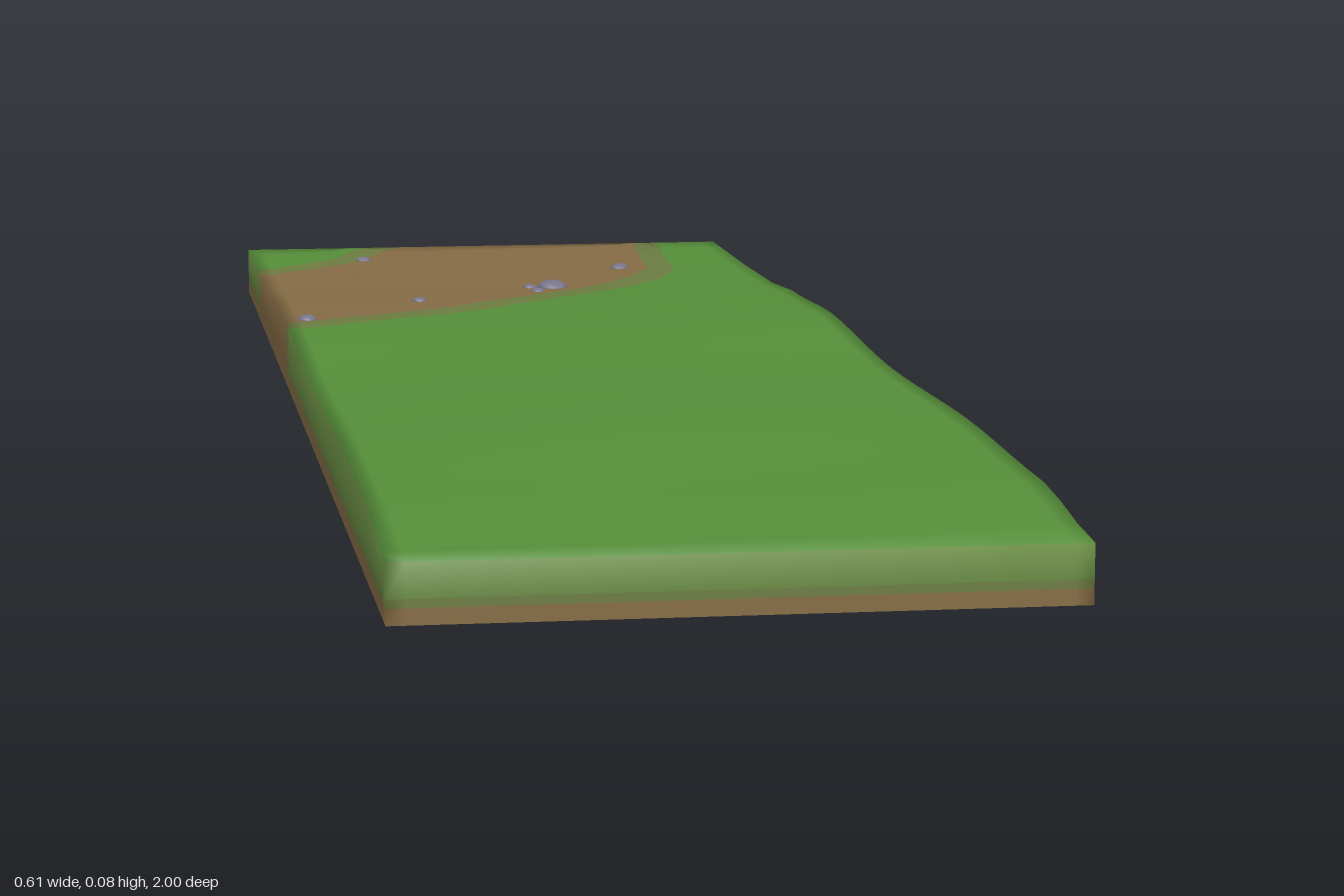
import * as THREE from 'three';
import { mergeVertices } from 'three/addons/utils/BufferGeometryUtils.js';

const HALF_X = 0.307, RIM = 0.055;

// Smooth interpolation through [key, value] pairs
function sample(table, k, ease) {
  if (k <= table[0][0]) return table[0][1];
  for (let i = 1; i < table.length; i++) {
    const [k0, v0] = table[i - 1], [k1, v1] = table[i];
    if (k <= k1) {
      let t = (k - k0) / (k1 - k0);
      if (ease) t = t * t * (3 - 2 * t);
      return v0 + (v1 - v0) * t;
    }
  }
  return table[table.length - 1][1];
}

// Ridge height along z, and the two borders of the soil patch as z over x
const ridge = [[-1, 0.055], [-0.8, 0.057], [-0.6, 0.061], [-0.4, 0.071], [-0.18, 0.078],
  [0.12, 0.071], [0.5, 0.081], [0.8, 0.073], [1, 0.055]];
const backBorder = [[-0.307, -0.77], [-0.24, -0.82], [-0.18, -0.89], [-0.13, -1.05]];
const frontBorder = [[-0.307, -0.225], [-0.22, -0.285], [-0.1, -0.36], [0, -0.45],
  [0.1, -0.56], [0.16, -0.64], [0.195, -0.73], [0.215, -1.05]];

const height = (x, z) => RIM + (sample(ridge, z, true) - RIM)
  * (0.8 + 0.55 * x + 0.12 * Math.sin(9 * x + 5 * z));

// z of every row in a column; rows follow the colour borders
const zones = [[3, 0], [2, 1], [12, 2], [2, 1], [32, 0]]; // rows, material
function columnRows(x) {
  const bounds = [-1,
    sample(backBorder, x + 0.015) - 0.015, sample(backBorder, x - 0.015) + 0.015,
    sample(frontBorder, x + 0.015) - 0.015, sample(frontBorder, x - 0.015) + 0.015, 1];
  for (let i = 1; i < 6; i++) bounds[i] = Math.max(bounds[i], bounds[i - 1]);
  const rows = [-1];
  zones.forEach(([n], k) => {
    for (let j = 1; j <= n; j++) rows.push(bounds[k] + (bounds[k + 1] - bounds[k]) * j / n);
  });
  return rows.map((z) => new THREE.Vector3(x, height(x, z), z));
}

function buildTerrain(materials) {
  const lists = materials.map(() => []);
  const tri = (m, a, b, c) => {
    if (a.distanceTo(b) < 1e-4 || b.distanceTo(c) < 1e-4 || c.distanceTo(a) < 1e-4) return;
    for (const p of [a, b, c]) lists[m].push(p.x, p.y, p.z);
  };
  const quad = (m, a, b, c, d) => { tri(m, a, b, c); tri(m, a, c, d); };

  const xs = [-HALF_X, -0.29];
  for (let x = -0.26; x < 0.15; x += 0.03) xs.push(x);
  for (let x = 0.16; x < 0.235; x += 0.01) xs.push(x);
  xs.push(0.26, 0.29, HALF_X);
  const cols = xs.map(columnRows);
  const rowMaterial = zones.flatMap(([n, m]) => Array(n).fill(m));
  const lastCol = cols.length - 1, lastRow = rowMaterial.length;

  // Rolling top
  for (let i = 0; i < lastCol; i++) {
    for (let j = 0; j < lastRow; j++) {
      quad(rowMaterial[j], cols[i][j], cols[i][j + 1], cols[i + 1][j + 1], cols[i + 1][j]);
    }
  }

  // Upright sides in three layers: soil, blend, then turf or soil
  const at = (p, y) => new THREE.Vector3(p.x, y, p.z);
  const wall = (p, q, zone) => {
    const upper = [3, 1, 2][zone];
    const middle = zone === 2 ? 2 : 1;
    quad(2, at(p, 0), at(q, 0), at(q, 0.015), at(p, 0.015));
    quad(middle, at(p, 0.015), at(q, 0.015), at(q, 0.023), at(p, 0.023));
    quad(upper, at(p, 0.023), at(q, 0.023), q, p);
  };
  for (let i = 0; i < lastCol; i++) {
    wall(cols[i][lastRow], cols[i + 1][lastRow], 0);
    const x = (xs[i] + xs[i + 1]) / 2;
    const zone = x > -0.13 && x < 0.19 ? 2 : x > -0.16 && x < 0.22 ? 1 : 0;
    wall(cols[i + 1][0], cols[i][0], zone);
  }
  for (let j = 0; j < lastRow; j++) {
    wall(cols[0][j], cols[0][j + 1], rowMaterial[j]);
    wall(cols[lastCol][j + 1], cols[lastCol][j], 0);
  }

  // One geometry with a group per colour, smoothed across the rim
  let geometry = new THREE.BufferGeometry();
  geometry.setAttribute('position', new THREE.Float32BufferAttribute(lists.flat(), 3));
  let start = 0;
  lists.forEach((list, m) => {
    geometry.addGroup(start, list.length / 3, m);
    start += list.length / 3;
  });
  geometry = mergeVertices(geometry, 1e-5);
  geometry.computeVertexNormals();
  const mesh = new THREE.Mesh(geometry, materials);
  mesh.name = 'terrain';
  return mesh;
}

export function createModel() {
  const group = new THREE.Group();
  group.name = 'grassyGroundTile';
  const mat = (name, color) => {
    const m = new THREE.MeshStandardMaterial({ color, side: THREE.DoubleSide });
    m.name = name;
    return m;
  };
  const grass = mat('grass', 0x558d39);
  const blend = mat('grassSoilBlend', 0x6c7b41);
  const soil = mat('soil', 0x846b44);
  const turfSide = mat('turfSide', 0x678942);
  const stone = mat('stone', 0x77748a);

  group.add(buildTerrain([grass, blend, soil, turfSide]));

  // Pebbles: x, z, radius
  const pebbles = [[-0.168, -0.87, 0.01], [0.145, -0.75, 0.012], [0.037, -0.57, 0.019],
    [0.01, -0.572, 0.009], [0.014, -0.528, 0.009], [-0.138, -0.435, 0.009], [-0.281, -0.285, 0.012]];
  const pebbleShape = new THREE.SphereGeometry(1, 10, 7);
  pebbles.forEach(([x, z, r], i) => {
    const pebble = new THREE.Mesh(pebbleShape, stone);
    pebble.name = `pebble${i + 1}`;
    pebble.position.set(x, height(x, z), z);
    pebble.scale.set(r, r * 0.5, r * 0.95);
    pebble.rotation.y = i * 1.3;
    group.add(pebble);
  });
  return group;
}
